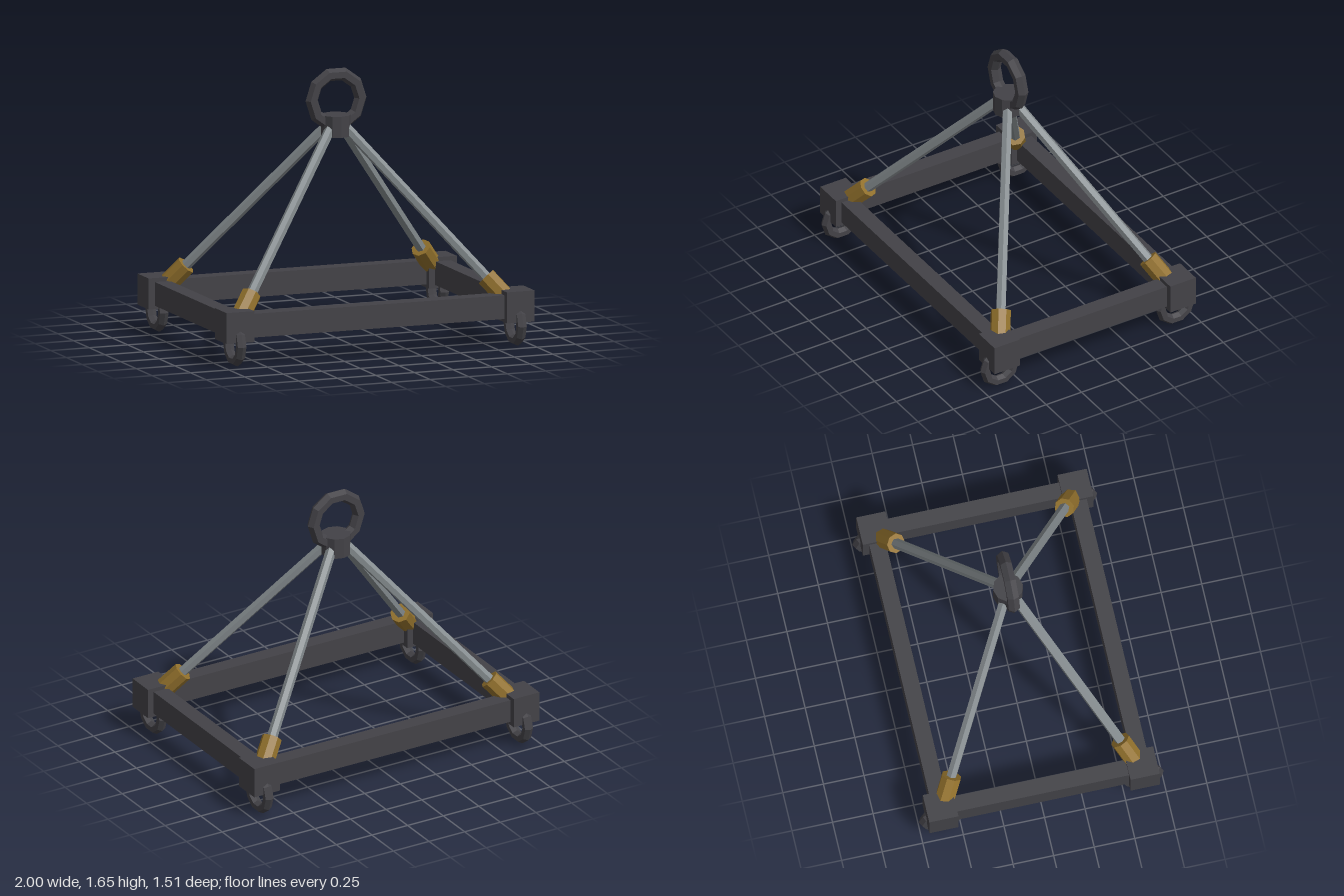
import * as THREE from 'three';

const flat = (name, color) => {
  const m = new THREE.MeshStandardMaterial({ color, flatShading: true });
  m.name = name;
  return m;
};

export function createModel() {
  const iron = flat('dark iron', 0x434247);
  const steel = flat('grey steel', 0x858c8f);
  const brass = flat('brass', 0x91702c);

  const model = new THREE.Group();
  model.name = 'liftingFrame';

  const add = (name, geometry, material, x, y, z) => {
    const mesh = new THREE.Mesh(geometry, material);
    mesh.name = name;
    mesh.position.set(x, y, z);
    model.add(mesh);
    return mesh;
  };

  // Cylinder running between two points
  const UP = new THREE.Vector3(0, 1, 0);
  const bar = (name, a, b, radius, sides, material) => {
    const dir = b.clone().sub(a);
    const mid = a.clone().add(b).multiplyScalar(0.5);
    const geometry = new THREE.CylinderGeometry(radius, radius, dir.length(), sides);
    const mesh = add(name, geometry, material, mid.x, mid.y, mid.z);
    mesh.quaternion.setFromUnitVectors(UP, dir.normalize());
  };

  const CX = 0.91, CY = 0.245, CZ = 0.62; // corner block centre

  // Rectangular base frame
  for (const s of [-1, 1]) {
    add('longBeam', new THREE.BoxGeometry(1.7, 0.145, 0.1), iron, 0, 0.243, s * CZ);
    add('shortBeam', new THREE.BoxGeometry(0.1, 0.145, 1.12), iron, s * CX, 0.243, 0);
  }

  // Corners: block, hanging ring, brass sleeve and sloping rod
  for (const sx of [-1, 1]) {
    for (const sz of [-1, 1]) {
      add('cornerBlock', new THREE.BoxGeometry(0.18, 0.19, 0.18), iron, sx * CX, CY, sz * CZ);

      const ring = add('cornerRing', new THREE.TorusGeometry(0.103, 0.032, 6, 10), iron,
        sx * CX, 0.128, sz * CZ);
      ring.rotation.y = Math.PI / 2;

      // Points on the rod's axis, from 0 at the corner to 1 at the apex
      const foot = new THREE.Vector3(sx * CX, 0.225, sz * CZ);
      const apex = new THREE.Vector3(0, 1.35, 0);
      const at = (t) => foot.clone().lerp(apex, t);
      bar('slingRod', at(0.04), at(0.96), 0.032, 6, steel);
      bar('rodSleeve', at(0.03), at(0.163), 0.062, 8, brass);
    }
  }

  // Hub and lifting eye
  add('hub', new THREE.CylinderGeometry(0.091, 0.091, 0.13, 10), iron, 0, 1.3, 0);
  add('liftingRing', new THREE.TorusGeometry(0.158, 0.04, 6, 10), iron, 0, 1.458, 0);

  return model;
}
